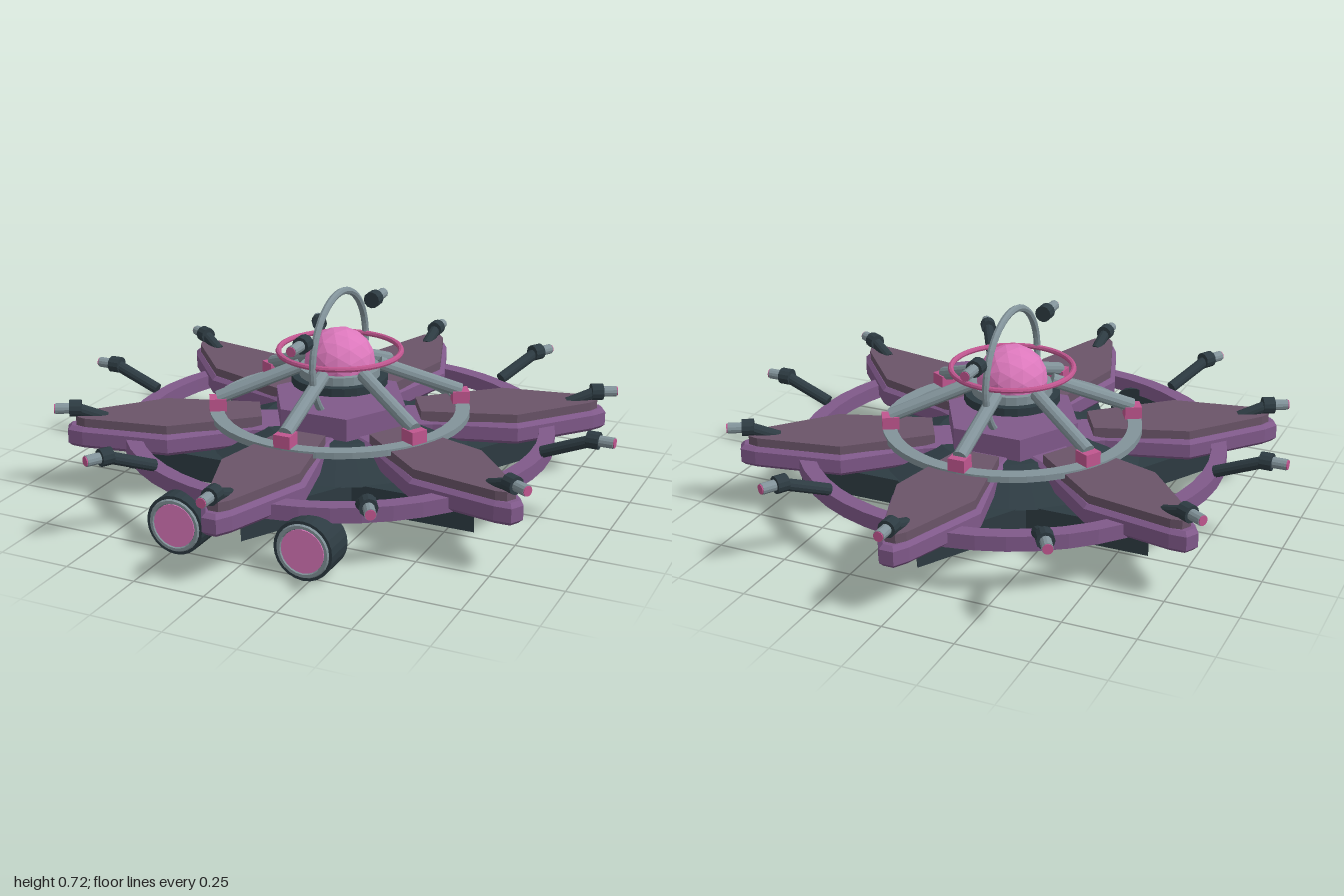
import * as THREE from 'three';

const mat = (name, color) => {
  const m = new THREE.MeshStandardMaterial({ color, flatShading: true });
  m.name = name;
  return m;
};

export function createModel() {
  const purple = mat('purple hull', 0x80598a);
  const mauve = mat('mauve panel', 0x6a5468);
  const dark = mat('dark slate', 0x2d3b42);
  const steel = mat('steel grey', 0x82939a);
  const pink = mat('pink glow', 0xdc78bc);
  const rose = mat('rose trim', 0xc0568f);

  const model = new THREE.Group();
  model.name = 'starBase';
  const V = (x, y, z) => new THREE.Vector3(x, y, z);

  const add = (name, geo, material, parent = model) => {
    const mesh = new THREE.Mesh(geo, material);
    mesh.name = name;
    parent.add(mesh);
    return mesh;
  };

  // Flat outline extruded upward from y0 to y1, with an optional chamfer
  const slab = (pts, y0, y1, bevel = 0) => {
    const shape = new THREE.Shape(pts.map(([x, y]) => new THREE.Vector2(x, y)));
    const geo = new THREE.ExtrudeGeometry(shape, {
      depth: y1 - y0 - 2 * bevel, bevelEnabled: bevel > 0, bevelSize: bevel,
      bevelThickness: bevel, bevelOffset: -bevel, bevelSegments: 1,
    });
    return geo.rotateX(-Math.PI / 2).translate(0, y0 + bevel, 0);
  };

  // Ring with a rectangular section
  const band = (ri, ro, y0, y1, segs = 48) => new THREE.LatheGeometry(
    [[ri, y0], [ro, y0], [ro, y1], [ri, y1], [ri, y0]].map(([x, y]) => new THREE.Vector2(x, y)), segs);

  // Cylinder between two points
  const rod = (name, a, b, r, material, parent, sides = 12) => {
    const mesh = add(name, new THREE.CylinderGeometry(r, r, a.distanceTo(b), sides), material, parent);
    mesh.position.copy(a).lerp(b, 0.5);
    mesh.quaternion.setFromUnitVectors(V(0, 1, 0), b.clone().sub(a).normalize());
    return mesh;
  };

  const spoke = (name, angle) => {
    const g = new THREE.Group();
    g.name = name;
    g.rotation.y = angle;
    model.add(g);
    return g;
  };

  // Gun head pointing along +z: collar, barrel and coloured muzzle
  const gunHead = (parent, y, z0, z1) => {
    rod('gunCollar', V(0, y, z0), V(0, y, z0 + 0.042), 0.03, dark, parent);
    rod('gunBarrel', V(0, y, z0 + 0.04), V(0, y, z1 - 0.004), 0.019, steel, parent);
    rod('gunMuzzle', V(0, y, z1 - 0.004), V(0, y, z1), 0.017, rose, parent);
  };

  // Six-pointed base
  const star = [];
  for (let i = 0; i < 12; i++) {
    const r = i % 2 ? 0.433 : 0.75, a = i * Math.PI / 6;
    star.push([r * Math.sin(a), r * Math.cos(a)]);
  }
  add('starBase', slab(star, 0.08, 0.172), dark);
  add('baseCone', new THREE.CylinderGeometry(0.27, 0.46, 0.08, 32).translate(0, 0.21, 0), dark);

  // Rings and central drum
  add('outerRing', band(0.705, 0.76, 0.178, 0.23), purple);
  add('innerRing', band(0.41, 0.46, 0.272, 0.294), steel);
  add('hexDrum', new THREE.CylinderGeometry(0.25, 0.25, 0.15, 6).rotateY(Math.PI / 6)
    .translate(0, 0.255, 0), purple);

  // Petals, struts and guns, repeated around the hub
  const petal = [[-0.085, 0.2], [0.085, 0.2], [0.09, 0.32], [0.16, 0.61], [0.055, 0.905], [0.025, 0.955],
    [-0.025, 0.955], [-0.055, 0.905], [-0.16, 0.61], [-0.09, 0.32]];
  const panel = [[-0.075, 0.28], [0.075, 0.28], [0.142, 0.61], [0.042, 0.895], [0.018, 0.925],
    [-0.018, 0.925], [-0.042, 0.895], [-0.142, 0.61]];
  for (let i = 0; i < 6; i++) {
    const a = i * Math.PI / 3;
    const arm = spoke('petalArm', a);
    add('petal', slab(petal, 0.18, 0.256, 0.014).rotateY(Math.PI), purple, arm);
    add('petalPanel', slab(panel, 0.25, 0.287).rotateY(Math.PI), mauve, arm);
    add('strutFoot', new THREE.BoxGeometry(0.06, 0.045, 0.06).translate(0, 0.315, 0.43), rose, arm);
    rod('strut', V(0, 0.335, 0.43), V(0, 0.445, 0.14), 0.025, steel, arm);
    rod('gunMount', V(0, 0.272, 0.82), V(0, 0.313, 0.93), 0.021, dark, arm);
    gunHead(arm, 0.312, 0.905, 1);

    const between = spoke('ringGun', a + Math.PI / 6);
    rod('gunMount', V(0, 0.24, 0.75), V(0, 0.313, 0.93), 0.021, dark, between);
    gunHead(between, 0.312, 0.905, 1);
  }

  // Core sphere in its collar
  add('coreSphere', new THREE.IcosahedronGeometry(0.125, 2).translate(0, 0.455, 0), pink);
  add('coreCollar', band(0.12, 0.17, 0.383, 0.412, 24), dark);
  add('coreBand', band(0.115, 0.143, 0.412, 0.442, 24), steel);

  // Orbit rings
  add('orbitRing', new THREE.TorusGeometry(0.215, 0.01, 8, 48).rotateX(Math.PI / 2)
    .translate(0, 0.498, 0), rose);
  add('uprightRing', new THREE.TorusGeometry(0.222, 0.013, 8, 48).rotateY(Math.PI / 2)
    .translate(0, 0.485, 0), steel);

  // Floating guns fore and aft
  for (const a of [0, Math.PI]) gunHead(spoke('upperGun', a), 0.605, 0.272, 0.385);

  // Two front thrusters
  for (const x of [-0.23, 0.23]) {
    const t = new THREE.Group();
    t.name = 'thruster';
    t.position.set(x, 0.102, 0);
    model.add(t);
    rod('thrusterBody', V(0, 0, 0.66), V(0, 0, 0.775), 0.102, dark, t, 24);
    add('thrusterRim', new THREE.TorusGeometry(0.083, 0.01, 6, 24).translate(0, 0, 0.773), steel, t);
    rod('thrusterGlow', V(0, 0, 0.772), V(0, 0, 0.779), 0.074, pink, t, 24);
  }

  return model;
}
